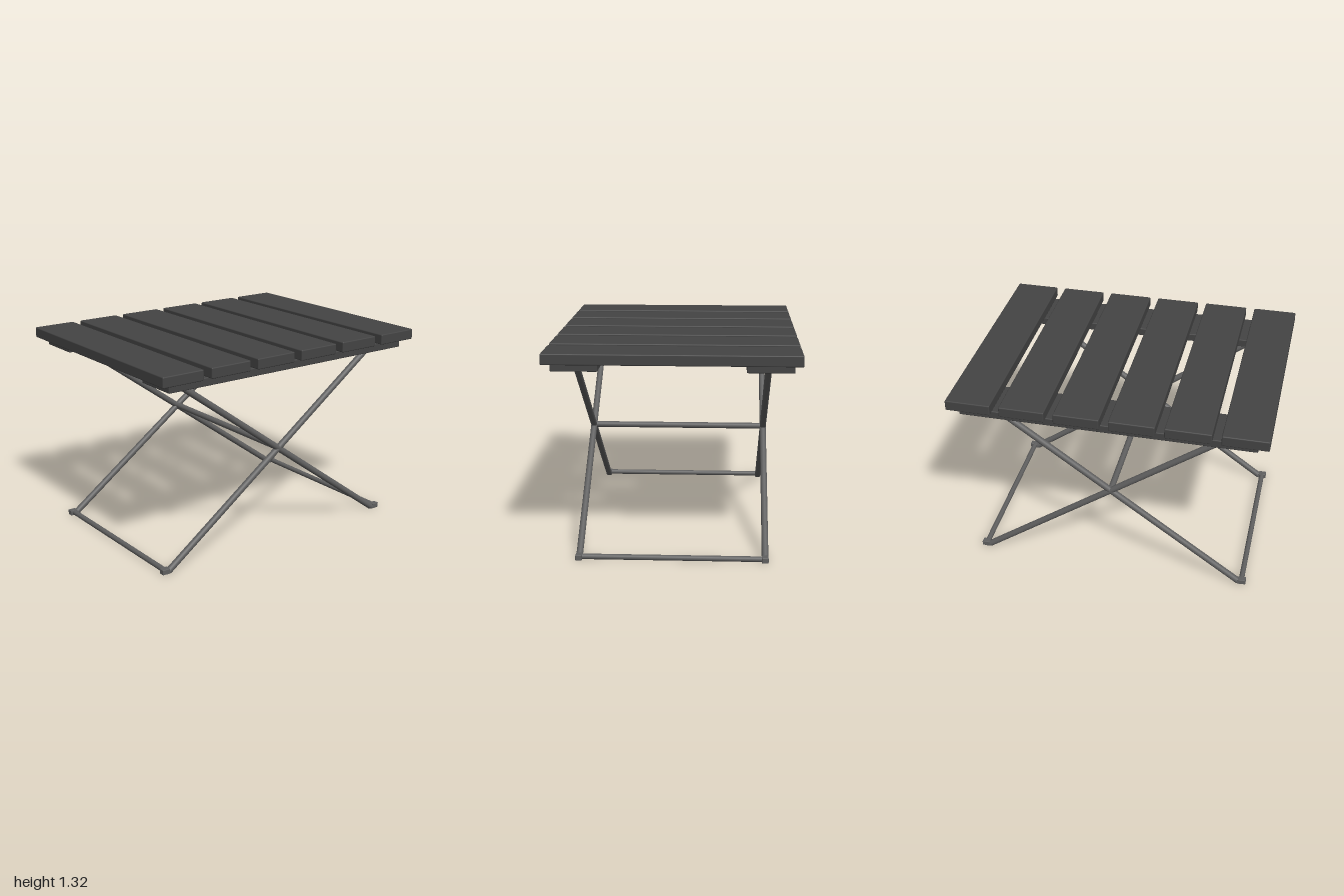
import * as THREE from 'three';
import { RoundedBoxGeometry } from 'three/addons/geometries/RoundedBoxGeometry.js';

const wood = new THREE.MeshStandardMaterial({ color: 0x444444 });
const metal = new THREE.MeshStandardMaterial({ color: 0x606060 });

function add(parent, name, geometry, material, x, y, z) {
  const mesh = new THREE.Mesh(geometry, material);
  mesh.name = name;
  mesh.position.set(x, y, z);
  parent.add(mesh);
  return mesh;
}

// Round tube leaning in the xy plane, both ends cut level with the ground
function slantedTube(x0, y0, x1, y1, radius) {
  const dx = x1 - x0, dy = y1 - y0, length = Math.hypot(dx, dy);
  const geometry = new THREE.CylinderGeometry(radius, radius, length, 20);
  geometry.rotateZ(-Math.atan2(dx, dy));
  geometry.translate((x0 + x1) / 2, (y0 + y1) / 2, 0);
  const p = geometry.attributes.position;
  const midY = (y0 + y1) / 2;
  for (let i = 0; i < p.count; i++) {
    const y = p.getY(i) < midY ? y0 : y1;
    p.setX(i, p.getX(i) + (y - p.getY(i)) * dx / dy);
    p.setY(i, y);
  }
  return geometry;
}

function crossBar(radius, length) {
  return new THREE.CylinderGeometry(radius, radius, length, 20).rotateX(Math.PI / 2);
}

export function createModel() {
  const model = new THREE.Group();
  model.name = 'foldingTable';

  // Table top: six slats on two flat rails
  const top = new THREE.Group();
  top.name = 'tableTop';
  const slat = new RoundedBoxGeometry(0.286, 0.068, 1.552, 2, 0.007);
  for (let i = 0; i < 6; i++) add(top, 'slat', slat, wood, (i - 2.5) * 0.3428, 1.29, 0);
  const rail = new RoundedBoxGeometry(1.86, 0.053, 0.286, 2, 0.006);
  for (const s of [-1, 1]) add(top, 'rail', rail, wood, 0, 1.23, s * 0.587);
  model.add(top);

  // Two crossing leg frames, each a pair of legs joined by a floor bar
  const legs = new THREE.Group();
  legs.name = 'legs';
  legs.position.set(0.007, 0, 0.004);
  for (const s of [-1, 1]) {
    const frame = new THREE.Group();
    frame.name = 'legFrame';
    const leg = slantedTube(s * 0.88, 0, s * -0.8, 1.215, 0.021);
    for (const z of [-0.582, 0.582]) {
      add(frame, 'leg', leg, metal, 0, 0, z);
      add(frame, 'foot', new RoundedBoxGeometry(0.052, 0.034, 0.041, 2, 0.004), metal, s * 0.894, 0.017, z);
    }
    add(frame, 'floorBar', crossBar(0.0175, 1.15), metal, s * 0.89, 0.0175, 0);
    legs.add(frame);
  }

  // Pivot bar through the crossing points
  add(legs, 'pivotBar', crossBar(0.02, 1.16), metal, 0, 0.64, 0);
  model.add(legs);
  return model;
}
